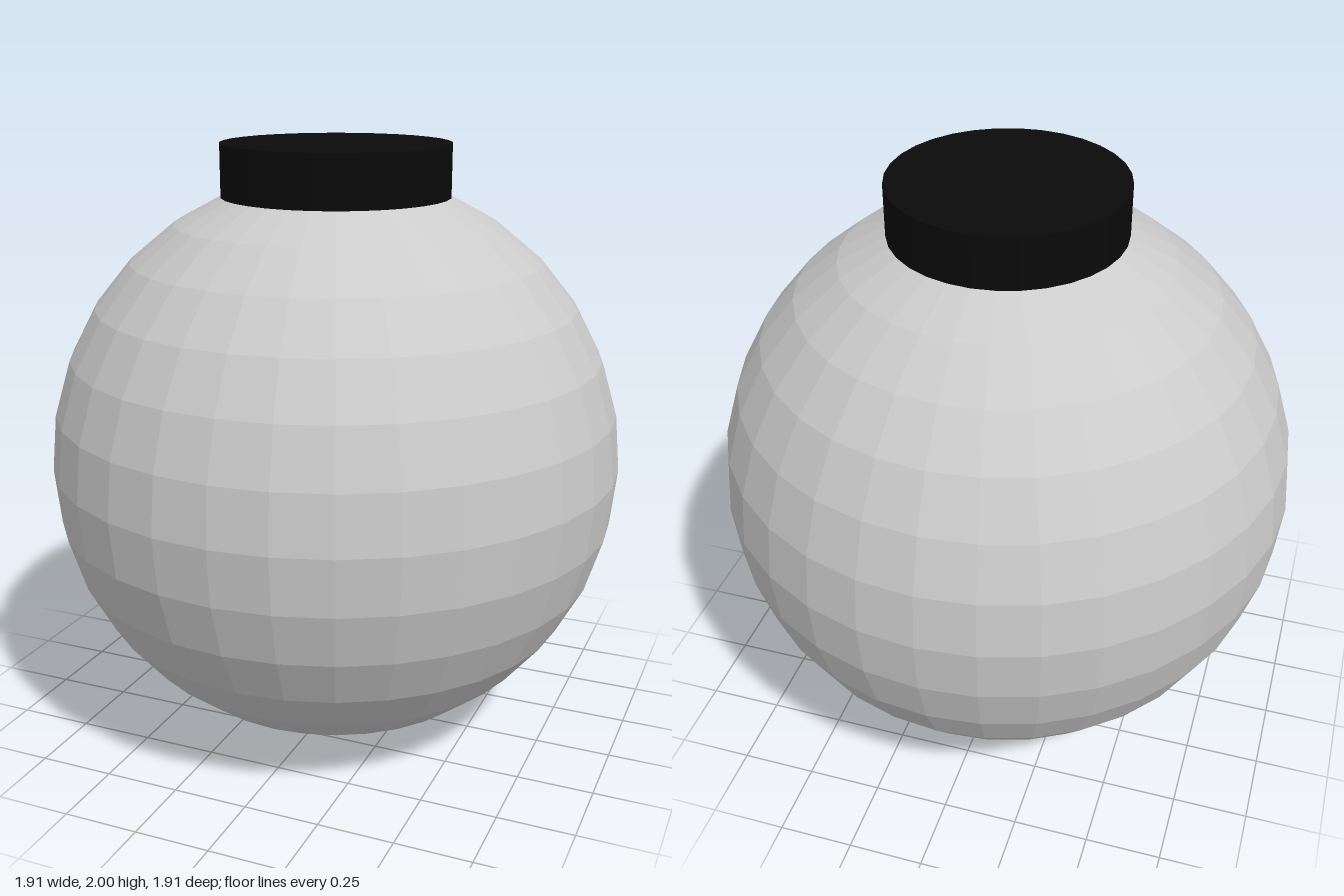
import * as THREE from 'three';

export function createModel() {
  const group = new THREE.Group();
  const add = (name, geometry, color, y) => {
    const material = new THREE.MeshStandardMaterial({ color, flatShading: true });
    const mesh = new THREE.Mesh(geometry, material);
    mesh.name = name;
    mesh.position.y = y;
    group.add(mesh);
  };

  // Faceted round body
  const radius = 0.953;
  add('globe', new THREE.SphereGeometry(radius, 32, 16), 0xcccccc, radius);

  // Short black cap, seated on the second ring of the globe
  const capBottom = 1.83, capTop = 2;
  add('cap', new THREE.CylinderGeometry(0.375, 0.375, capTop - capBottom, 32), 0x0a0a0a, (capBottom + capTop) / 2);

  return group;
}
